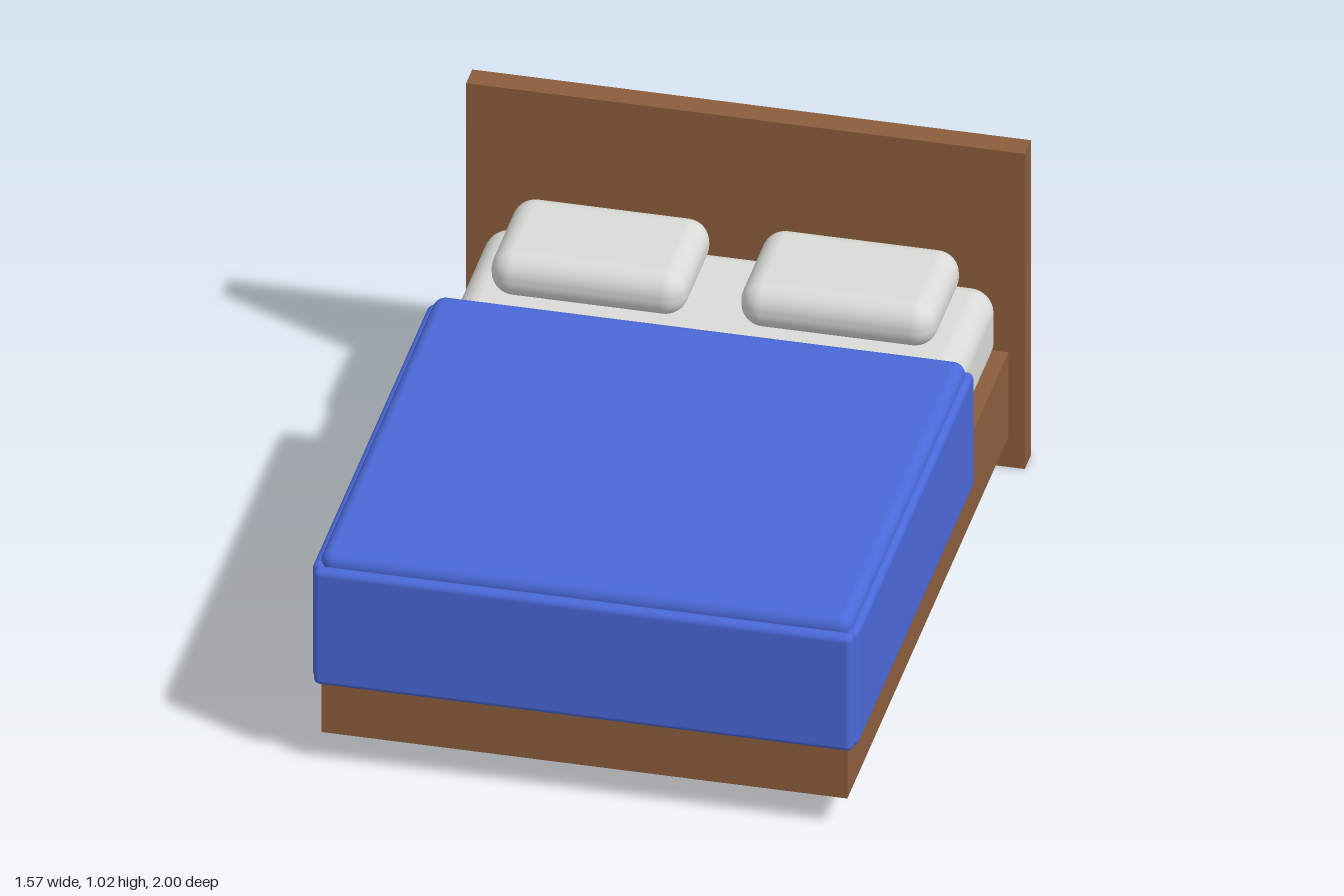
import * as THREE from 'three';
import { RoundedBoxGeometry } from 'three/addons/geometries/RoundedBoxGeometry.js';

function makeMaterial(name, color) {
  const material = new THREE.MeshStandardMaterial({ color });
  material.name = name;
  return material;
}

export function createModel() {
  const bed = new THREE.Group();
  bed.name = 'bed';

  const wood = makeMaterial('brown wood', 0x8b5e3c);
  const linen = makeMaterial('light grey linen', 0xdadad7);
  const cloth = makeMaterial('blue cloth', 0x4a69d9);

  // Adds a box between two corners, rounded when a radius is given
  function addBox(name, material, [x0, y0, z0], [x1, y1, z1], radius = 0, segments = 5) {
    const size = [x1 - x0, y1 - y0, z1 - z0];
    const geometry = radius
      ? new RoundedBoxGeometry(...size, segments, radius)
      : new THREE.BoxGeometry(...size);
    const mesh = new THREE.Mesh(geometry, material);
    mesh.name = name;
    mesh.position.set((x0 + x1) / 2, (y0 + y1) / 2, (z0 + z1) / 2);
    bed.add(mesh);
  }

  // Wooden frame and headboard
  addBox('headboard', wood, [-0.783, 0, -1], [0.783, 1.016, -0.928]);
  addBox('frame', wood, [-0.737, 0.096, -0.928], [0.737, 0.37, 0.973]);

  // Mattress
  addBox('mattress', linen, [-0.713, 0.37, -0.917], [0.713, 0.6, 0.95], 0.07);

  // Blanket: top sheet and front drop
  addBox('blanketTop', cloth, [-0.746, 0.594, -0.412], [0.746, 0.667, 0.968], 0.036);
  addBox('blanketFront', cloth, [-0.756, 0.26, 0.96], [0.756, 0.63, 1], 0.018);

  // Mirrored side drops and pillows
  for (const side of [1, -1]) {
    const label = side > 0 ? 'left' : 'right';
    const span = (a, b) => (side > 0 ? [a, b] : [-b, -a]);

    const [d0, d1] = span(0.725, 0.765);
    addBox(label + 'BlanketDrop', cloth, [d0, 0.26, -0.412], [d1, 0.63, 0.97], 0.018);

    const [p0, p1] = span(0.075, 0.625);
    addBox(label + 'Pillow', linen, [p0, 0.597, -0.873], [p1, 0.735, -0.506], 0.064);
  }

  return bed;
}
